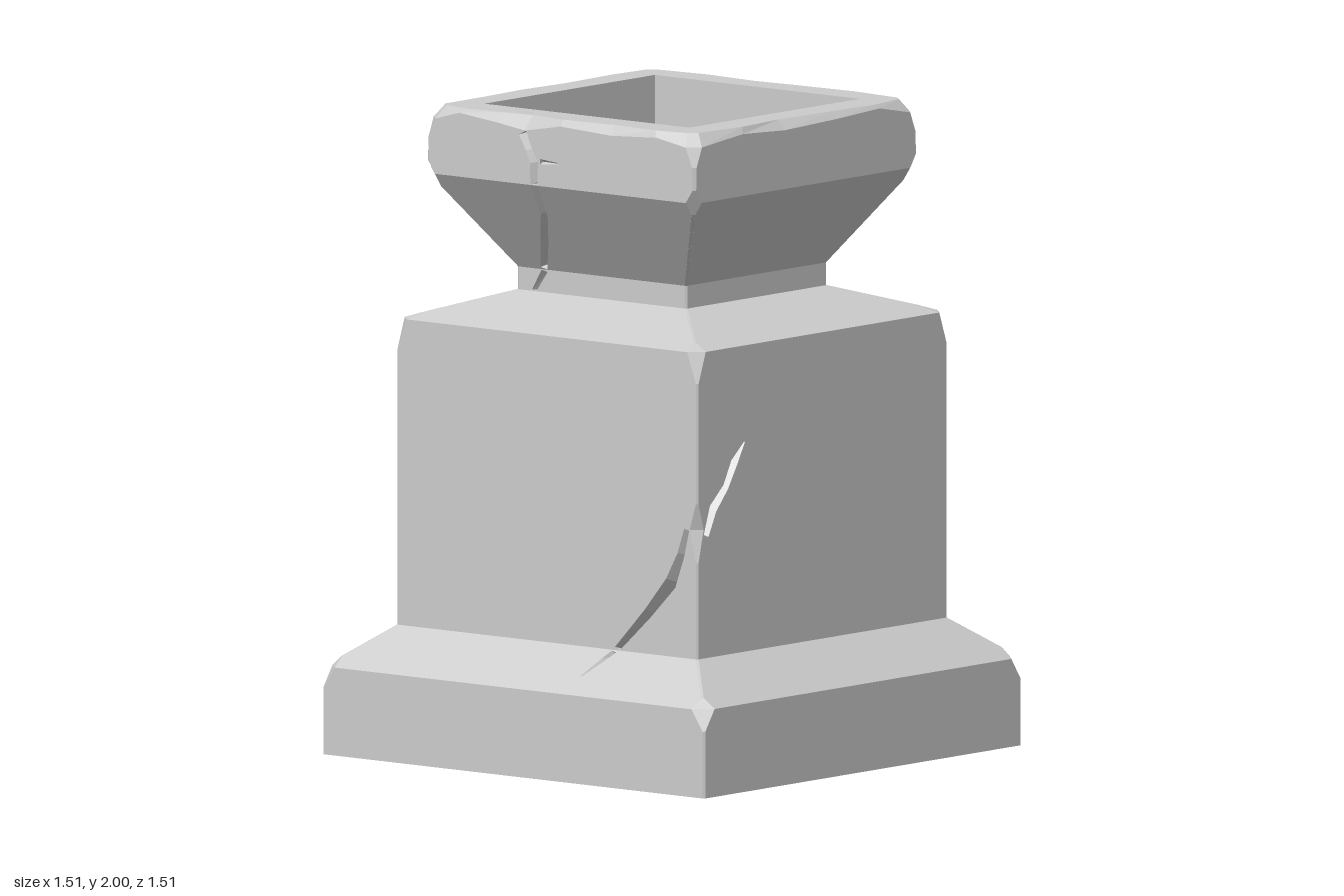
import * as THREE from 'three';

const material = new THREE.MeshStandardMaterial({ color: 0xcccccc, flatShading: true });
const V2 = (u, v) => new THREE.Vector2(u, v);
const TOP = 2;

// A triangle collector that becomes one flat-shaded mesh
function makeSoup() {
  const pos = [];
  const tri = (...pts) => pts.forEach(p => pos.push(p.x, p.y, p.z));
  const quad = (a, b, c, d) => { tri(a, b, c); tri(a, c, d); };
  const mesh = name => {
    const g = new THREE.BufferGeometry();
    g.setAttribute('position', new THREE.Float32BufferAttribute(pos, 3));
    g.computeVertexNormals();
    const m = new THREE.Mesh(g, material);
    m.name = name;
    return m;
  };
  return { tri, quad, mesh };
}

// Flat face with V-shaped cracks cut in it. A crack is a list of [u, v, halfWidth];
// map(u, v, depth) places a face point in space.
function crackedFace(soup, outline, cracks, map, holes = []) {
  const vs = outline.map(p => p.y);
  const lo = Math.min(...vs) + 0.002, hi = Math.max(...vs) - 0.002;
  const shape = new THREE.Shape(outline);
  holes.forEach(h => shape.holes.push(new THREE.Path(h)));
  for (const crack of cracks) {
    const rows = crack.map(([u, v, w], i) => {
      const a = crack[Math.max(i - 1, 0)], b = crack[Math.min(i + 1, crack.length - 1)];
      const t = V2(b[0] - a[0], b[1] - a[1]).normalize();
      const at = s => V2(u - t.y * w * s, THREE.MathUtils.clamp(v + t.x * w * s, lo, hi));
      const l = at(1), r = at(-1), m = at(-0.2);
      return { l, r, L: map(l.x, l.y, 0), R: map(r.x, r.y, 0), B: map(m.x, m.y, w * 1.8) };
    });
    shape.holes.push(new THREE.Path([...rows.map(p => p.l), ...rows.map(p => p.r).reverse()]));
    for (let i = 1; i < rows.length; i++) {
      const p = rows[i - 1], q = rows[i];
      soup.quad(p.L, p.B, q.B, q.L);
      soup.quad(p.B, p.R, q.R, q.B);
    }
    const s = rows[0], e = rows[rows.length - 1];
    soup.tri(s.L, s.R, s.B);
    soup.tri(e.R, e.L, e.B);
  }
  const g = new THREE.ShapeGeometry(shape), p = g.attributes.position, id = g.index.array;
  for (let i = 0; i < id.length; i += 3)
    soup.tri(...[0, 1, 2].map(j => map(p.getX(id[i + j]), p.getY(id[i + j]), 0)));
}

// Side k: 0 front, 1 right (+x), 2 back, 3 left (-x); u runs sideways, out is outward
const UP = new THREE.Vector3(0, 1, 0);
const onSide = (k, u, y, out) => new THREE.Vector3(u, y, out).applyAxisAngle(UP, k * Math.PI / 2);

// Square band of rows [halfWidth, y, cornerCut, cut of the front right corner]
function band(soup, rows, cracks = {}, topEdges = null) {
  const [h0, y0] = rows[0], [h1, y1] = rows[rows.length - 1];
  const slope = (h1 - h0) / (y1 - y0), n = Math.hypot(1, slope);
  const half = (r, corner) => r[0] - (corner === 0 && r[3] ? r[3] : r[2]);
  for (let k = 0; k < 4; k++) {
    const map = (u, y, d) => onSide(k, u, y + slope * d / n, h0 + slope * (y - y0) - d / n);
    const right = rows.map(r => V2(half(r, k), r[1]));
    const left = rows.map(r => V2(-half(r, (k + 3) % 4), r[1])).reverse();
    const edge = topEdges ? topEdges[k].map(([u, drop]) => V2(u, TOP - drop)).reverse() : [];
    crackedFace(soup, [...right, ...edge, ...left], cracks[k] || [], map);
    // Worn corner between this side and the next
    for (let i = 1; i < rows.length; i++) {
      const a = rows[i - 1], b = rows[i], ha = half(a, k), hb = half(b, k);
      soup.quad(onSide(k, ha, a[1], a[0]), onSide(k + 1, -ha, a[1], a[0]),
        onSide(k + 1, -hb, b[1], b[0]), onSide(k, hb, b[1], b[0]));
    }
  }
}

export function createModel() {
  const group = new THREE.Group();
  const addBand = (name, rows, cracks) => {
    const soup = makeSoup();
    band(soup, rows, cracks);
    group.add(soup.mesh(name));
  };

  addBand('plinth', [[.755, .01, .006], [.755, .215, .006], [.755, .28, .05]], {
    2: [[[.24, .01, .014], [.13, .13, .018], [-.02, .28, .02]]],
  });
  addBand('plinthSlope', [[.755, .28, .05], [.715, .311, .006], [.595, .405, .006]], {
    0: [[[.215, .33, .002], [.25, .375, .008], [.27, .405, .012]]],
    2: [[[-.035, .28, .02], [-.025, .33, .014], [-.06, .405, .01]]],
  });
  addBand('body', [[.595, .405, .006], [.595, .7, .006], [.595, .8, .006, .03], [.595, .88, .006],
    [.595, 1.25, .006], [.595, 1.345, .04]], {
    0: [[[.28, .405, .014], [.4, .53, .016], [.49, .63, .022], [.53, .72, .014], [.553, .8, .01]]],
    1: [[[-.553, .78, .012], [-.52, .86, .018], [-.46, .92, .013], [-.42, .99, .016], [-.37, 1.05, .002]]],
    2: [[[-.13, 1.0, .004], [-.145, 1.1, .01], [-.165, 1.18, .022], [-.3, 1.22, .022], [-.35, 1.27, .02], [-.36, 1.345, .024]],
      [[-.06, .405, .012], [-.08, .55, .008], [-.1, .67, .003]],
      [[-.11, .76, .002], [-.13, .86, .016], [-.13, .96, .003]]],
  });
  addBand('shoulder', [[.595, 1.345, .04], [.534, 1.365, .006], [.335, 1.43, .006]], {
    2: [[[-.36, 1.345, .022], [-.375, 1.36, .016], [-.34, 1.385, .002]]],
  });
  addBand('neck', [[.335, 1.43, .006], [.335, 1.5, .006]], {
    0: [[[-.265, 1.43, .01], [-.225, 1.5, .014]]],
  });
  addBand('bowl', [[.335, 1.5, .006], [.503, 1.75, .008], [.53, 1.79, .035]], {
    0: [[[-.225, 1.5, .014], [-.17, 1.6, .014], [-.12, 1.69, .012], [-.105, 1.79, .014]]],
  });

  // Rim: each top edge is a row of chips [u, drop, inset]
  const ends = mid => [[-.495, .04, .03], ...mid, [.495, .04, .03]];
  const topEdges = [
    ends([[-.4, .014, .008], [-.25, .03, .02], [-.14, .045, .03], [0, .02, .012], [.2, .03, .025], [.38, .02, .012]]),
    ends([[-.3, .02, .012], [-.1, .03, .03], [.15, .022, .02], [.35, .012, .01]]),
    ends([[-.3, .012, .01], [-.05, .018, .02], [.1, .025, .03], [.3, .012, .014]]),
    ends([[-.35, .02, .02], [-.1, .03, .03], [.1, .018, .018], [.3, .03, .028]]),
  ];
  const rim = makeSoup();
  band(rim, [[.53, 1.79, .035], [.53, 1.83, .008], [.53, 1.9, .01], [.53, 1.96, .035]], {
    0: [[[-.105, 1.79, .014], [-.105, 1.86, .016], [-.125, 1.9, .012], [-.15, 1.948, .016]],
      [[-.08, 1.865, .008], [-.01, 1.865, .002]]],
  }, topEdges);
  const topPoint = (k, [u, , inset]) => onSide(k, u * .96, TOP, .53 - inset);
  const topOutline = [];
  topEdges.forEach((edge, k) => {
    edge.forEach((p, i) => {
      const t = topPoint(k, p);
      topOutline.push(V2(t.x, -t.z));
      if (!i) return;
      const o = edge[i - 1];
      rim.quad(onSide(k, o[0], TOP - o[1], .53), onSide(k, p[0], TOP - p[1], .53), t, topPoint(k, o));
    });
    const e = edge[edge.length - 1], s = topEdges[(k + 1) % 4][0];
    rim.quad(onSide(k, e[0], TOP - e[1], .53), onSide(k + 1, s[0], TOP - s[1], .53),
      topPoint(k + 1, s), topPoint(k, e));
  });
  const square = h => [V2(-h, -h), V2(h, -h), V2(h, h), V2(-h, h)];
  crackedFace(rim, topOutline, [[[-.16, -.485, .018], [-.22, -.45, .014], [-.29, -.412, .003]]],
    (u, v, d) => new THREE.Vector3(u, TOP - d, -v), [square(.405)]);
  group.add(rim.mesh('rim'));

  // Hollow: straight walls, then sloping walls down to a square floor
  const hollow = makeSoup();
  const wall = [[.405, TOP], [.405, 1.76], [.235, 1.5]];
  for (let k = 0; k < 4; k++)
    for (let i = 1; i < wall.length; i++) {
      const [h, y] = wall[i - 1], [g, z] = wall[i];
      hollow.quad(onSide(k, -h, y, h), onSide(k, h, y, h), onSide(k, g, z, g), onSide(k, -g, z, g));
    }
  crackedFace(hollow, square(.235), [], (u, v) => new THREE.Vector3(u, 1.5, -v));
  group.add(hollow.mesh('hollow'));

  // Underside and the loosened chunk at the back of the plinth
  const under = makeSoup();
  crackedFace(under, square(.752), [], (u, v) => new THREE.Vector3(u, .01, v));
  group.add(under.mesh('underside'));
  const chunkShape = new THREE.Shape([V2(.27, 0), V2(.55, 0), V2(.69, .17), V2(.45, .22), V2(.04, .255)]);
  const chunk = new THREE.Mesh(new THREE.ExtrudeGeometry(chunkShape, { depth: .1, bevelEnabled: false }), material);
  chunk.name = 'looseChunk';
  chunk.rotation.y = Math.PI;
  chunk.position.z = -.658;
  group.add(chunk);

  return group;
}
